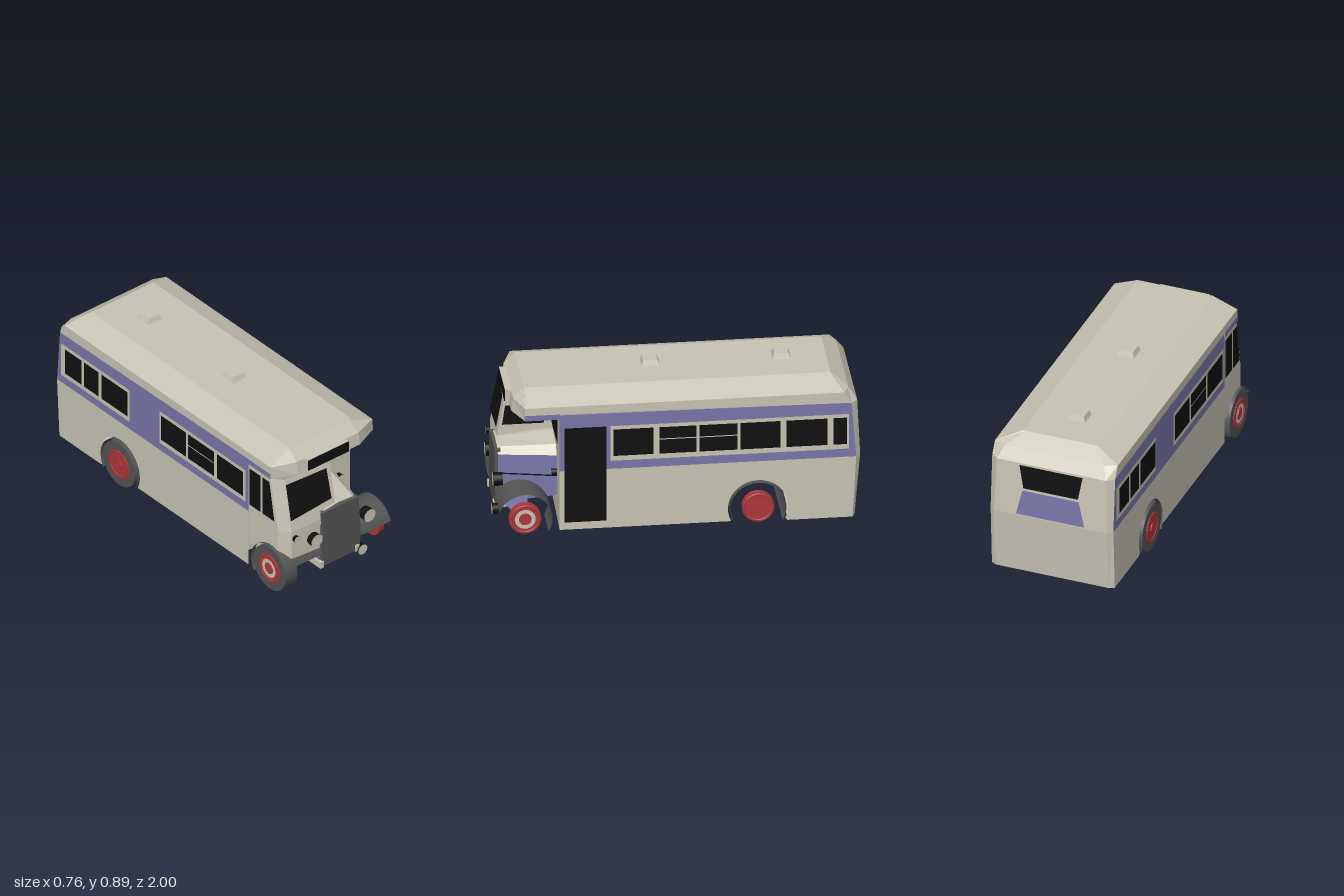
import * as THREE from 'three';

const paint = (name, color) => new THREE.MeshStandardMaterial({ name, color, side: THREE.DoubleSide });

export function createModel() {
  const bus = new THREE.Group();
  bus.name = 'halfCabBus';
  const cream = paint('cream', 0xc9c5b5);
  const blue = paint('blue', 0x7976aa);
  const grey = paint('darkGrey', 0x545454);
  const black = paint('black', 0x101010);
  const red = paint('red', 0xb0373c);

  const add = (name, geo, mat, x = 0, y = 0, z = 0, parent = bus) => {
    const m = new THREE.Mesh(geo, mat);
    m.name = name;
    m.position.set(x, y, z);
    parent.add(m);
    return m;
  };
  const faceted = (tris) => {
    const g = new THREE.BufferGeometry();
    g.setAttribute('position', new THREE.Float32BufferAttribute(tris.flat(), 3));
    g.computeVertexNormals();
    return g;
  };
  // Skin between consecutive point rows
  const loft = (name, rows, mat) => {
    const t = [];
    for (let i = 0; i < rows.length - 1; i++) {
      for (let j = 0; j < rows[i].length - 1; j++) {
        const a = rows[i][j], b = rows[i][j + 1], c = rows[i + 1][j + 1], d = rows[i + 1][j];
        t.push(a, b, c, a, c, d);
      }
    }
    return add(name, faceted(t), mat);
  };
  // Flat convex polygon
  const face = (name, pts, mat) => {
    const t = [];
    for (let i = 1; i < pts.length - 1; i++) t.push(pts[0], pts[i], pts[i + 1]);
    return add(name, faceted(t), mat);
  };
  const sidePlate = (name, x, z0, z1, y0, y1, mat) =>
    face(name, [[x, y0, z0], [x, y0, z1], [x, y1, z1], [x, y1, z0]], mat);
  const box = (name, w, h, d, x, y, z, mat) => add(name, new THREE.BoxGeometry(w, h, d), mat, x, y, z);

  // Lower side panel with rear wheel arch cut out, and blue waistband above
  const W = 0.36, REAR = -0.437;
  const panel = new THREE.Shape();
  panel.moveTo(0.65, 0.055);
  panel.lineTo(-0.288, 0.055);
  panel.absarc(REAR, 0.13, 0.165, -0.45, Math.PI + 0.45, false);
  panel.lineTo(-0.6, 0.045);
  panel.lineTo(-0.955, 0.045);
  panel.lineTo(-0.975, 0.41);
  panel.lineTo(0.65, 0.41);
  for (const s of [1, -1]) {
    add('lowerSide', new THREE.ShapeGeometry(panel, 16).rotateY(-Math.PI / 2), cream, s * W);
    face('blueBand', [[s * W, 0.41, 0.65], [s * W, 0.41, -0.975], [s * W, 0.735, -0.95], [s * W, 0.755, 0.65]], blue);
    sidePlate('canopyValance', s * 0.363, 0.65, 0.84, 0.725, 0.757, blue);
  }

  // Side windows: pale frames, dark panes and sliding rails
  const glaze = (s, frames, panes, rails) => {
    for (const [a, b] of frames) sidePlate('windowFrame', s * 0.363, a, b, 0.46, 0.67, cream);
    for (const [a, b] of panes) sidePlate('sideWindow', s * 0.366, a, b, 0.49, 0.65, black);
    for (const [a, b] of rails) sidePlate('windowRail', s * 0.368, a, b, 0.576, 0.582, cream);
  };
  glaze(1, [[0.373, -0.936]],
    [[0.357, 0.137], [0.105, -0.1], [-0.115, -0.324], [-0.34, -0.56], [-0.592, -0.818], [-0.85, -0.925]],
    [[0.137, -0.1], [-0.115, -0.324]]);
  glaze(-1, [[0.63, -0.1], [-0.355, -0.936]],
    [[0.61, 0.39], [0.365, 0.145], [0.125, -0.085], [-0.37, -0.59], [-0.615, -0.74], [-0.76, -0.9]],
    [[0.365, 0.145]]);
  sidePlate('door', 0.364, 0.625, 0.394, 0.1, 0.67, black);

  // Rear end
  const planRow = (y, w, zs, c, zr) => [[w, y, zs], [c, y, zr], [-c, y, zr], [-w, y, zs]];
  loft('rearEnd', [
    planRow(0.045, W, -0.955, 0.33, -0.97),
    planRow(0.41, W, -0.975, 0.33, -1),
    planRow(0.735, W, -0.95, 0.32, -0.985),
    planRow(0.8, W, -0.91, 0.29, -0.94),
    planRow(0.86, 0.22, -0.85, 0.2, -0.85),
  ], cream);
  face('rearFloor', [[W, 0.05, -0.6], [-W, 0.05, -0.6], [-W, 0.045, -0.955], [-0.33, 0.045, -0.97],
    [0.33, 0.045, -0.97], [W, 0.045, -0.955]], cream);
  const rearZ = (y) => -1.004 + (y - 0.41) * 0.046;
  const rearPlate = (name, y0, w0, y1, w1, mat) => face(name,
    [[w0, y0, rearZ(y0)], [-w0, y0, rearZ(y0)], [-w1, y1, rearZ(y1)], [w1, y1, rearZ(y1)]], mat);
  rearPlate('rearWindow', 0.585, 0.16, 0.725, 0.185, black);
  rearPlate('rearBluePanel', 0.42, 0.2, 0.57, 0.165, blue);

  // Roof, front canopy and vents
  const roofRow = (z0, z1, z2, yl) => [[W, yl, z0], [W, 0.8, z1], [0.22, 0.86, z2], [-0.22, 0.86, z2], [-W, 0.8, z1], [-W, yl, z0]];
  loft('roof', [roofRow(0.84, 0.84, 0.83, 0.725), roofRow(0.65, 0.65, 0.65, 0.75), roofRow(-0.95, -0.91, -0.85, 0.735)], cream);
  loft('canopy', [
    planRow(0.725, W, 0.84, 0.22, 0.9),
    planRow(0.8, W, 0.84, 0.22, 0.89),
    planRow(0.86, 0.22, 0.83, 0.2, 0.83),
  ], cream);
  face('canopyUnderside', [[W, 0.725, 0.65], [W, 0.725, 0.84], [0.22, 0.725, 0.9],
    [-0.22, 0.725, 0.9], [-W, 0.725, 0.84], [-W, 0.725, 0.65]], cream);
  box('signBox', 0.29, 0.068, 0.08, -0.022, 0.77, 0.882, cream);
  box('signPanel', 0.288, 0.064, 0.004, -0.022, 0.77, 0.924, black);
  for (const z of [0.113, -0.605]) {
    add('roofVent', new THREE.CylinderGeometry(0.055, 0.071, 0.03, 4).rotateY(Math.PI / 4).toNonIndexed(), cream, -0.015, 0.875, z)
      .geometry.computeVertexNormals();
  }

  // Bulkhead beside the cab
  face('bulkhead', [[-W, 0.15, 0.65], [W, 0.055, 0.65], [W, 0.74, 0.65], [-W, 0.74, 0.65]], cream);
  face('bulkheadWindow', [[0.012, 0.545, 0.655], [0.3, 0.545, 0.655], [0.3, 0.685, 0.655], [0.012, 0.685, 0.655]], black);

  // Driver's cab
  const cabRow = (y, z) => [[0, y, 0.65], [0, y, z], [-0.31, y, z - 0.01], [-0.357, y, z - 0.07], [-0.357, y, 0.65]];
  loft('cab', [cabRow(0.2, 0.965), cabRow(0.41, 0.965), cabRow(0.49, 0.95), cabRow(0.725, 0.905)], cream);
  face('windscreen', [[-0.312, 0.482, 0.953], [-0.18, 0.5, 0.956], [-0.024, 0.508, 0.954],
    [-0.032, 0.692, 0.919], [-0.312, 0.7, 0.911]], black);
  face('cabInnerWindow', [[0.005, 0.535, 0.694], [0.005, 0.535, 0.925], [0.005, 0.65, 0.908], [0.005, 0.65, 0.694]], black);
  sidePlate('cabSideWindow', -0.362, 0.66, 0.755, 0.46, 0.7, black);
  face('cabSideWindow', [[-0.362, 0.46, 0.77], [-0.362, 0.46, 0.872], [-0.362, 0.7, 0.83], [-0.362, 0.7, 0.77]], black);

  // Bonnet, radiator and chassis front
  const topF = [[-0.108, 0.455, 0.965], [0.02, 0.47, 0.965], [0.12, 0.462, 0.965], [0.155, 0.43, 0.965]];
  const topR = [[-0.1, 0.475, 0.65], [0.03, 0.51, 0.65], [0.175, 0.487, 0.65], [0.222, 0.44, 0.65]];
  loft('bonnetTop', [topF, topR], cream);
  loft('bonnetSide', [[topF[3], [0.155, 0.14, 0.965]], [topR[3], [0.222, 0.2, 0.65]]], blue);
  loft('bonnetInnerSide', [[topF[0], [-0.12, 0.14, 0.965]], [topR[0], [-0.1, 0.15, 0.65]]], blue);
  face('bonnetSeam', [[0.16, 0.316, 0.965], [0.16, 0.324, 0.965], [0.227, 0.324, 0.65], [0.227, 0.316, 0.65]], black);
  face('radiator', [[-0.115, 0.107, 0.982], [0.145, 0.107, 0.982], [0.16, 0.2, 0.982], [0.145, 0.458, 0.982], [-0.105, 0.458, 0.982]], grey);
  loft('radiatorShell', [
    [[-0.115, 0.107, 0.982], [-0.105, 0.458, 0.982], [0.145, 0.458, 0.982], [0.16, 0.2, 0.982], [0.145, 0.107, 0.982]],
    [[-0.115, 0.107, 0.95], [-0.105, 0.458, 0.95], [0.145, 0.458, 0.95], [0.16, 0.2, 0.95], [0.145, 0.107, 0.95]],
  ], grey);
  face('wingApron', [[0.15, 0.14, 0.94], [0.32, 0.16, 0.9], [0.3, 0.2, 0.82], [0.16, 0.2, 0.8]], blue);
  face('wingLiner', [[0.15, 0.14, 0.93], [0.32, 0.09, 0.87], [0.32, 0.16, 0.89]], grey);
  face('wingLiner', [[-0.12, 0.145, 0.9], [-0.28, 0.1, 0.87], [-0.22, 0.15, 0.89]], grey);
  for (const x of [-0.12, 0.13]) box('chassisHorn', 0.025, 0.04, 0.16, x, 0.125, 0.91, cream);

  // Wings and the rear wheel well
  const arch = (name, r, x0, x1, y, z, start, sweep) => add(name,
    new THREE.CylinderGeometry(r, r, x1 - x0, 20, 1, true, start, sweep).rotateZ(Math.PI / 2), grey, (x0 + x1) / 2, y, z);
  arch('frontWing', 0.15, 0.16, 0.375, 0.135, 0.84, 0.37, Math.PI + 0.18);
  arch('frontWing', 0.15, -0.375, -0.11, 0.135, 0.84, 0.37, Math.PI + 0.18);
  arch('rearWheelWell', 0.155, -0.372, 0.372, 0.13, REAR, -0.53, Math.PI + 1.06);

  // Wheels
  const disc = (r, w) => new THREE.CylinderGeometry(r, r, w, 28).rotateZ(Math.PI / 2);
  const ring = (r0, r1) => new THREE.RingGeometry(r0, r1, 28).rotateY(Math.PI / 2);
  for (const s of [1, -1]) {
    for (const z of [0.84, REAR]) {
      const wheel = new THREE.Group();
      wheel.name = z > 0 ? 'frontWheel' : 'rearWheel';
      wheel.position.set(0, 0.137, z);
      bus.add(wheel);
      if (s < 0) add('tyre', disc(0.136, 0.085), grey, -0.327, 0, 0, wheel);
      add('rim', disc(0.088, 0.034), red, s * 0.354, 0, 0, wheel);
      add('rimRing', ring(0.035, 0.057), z > 0 ? cream : red, s * 0.374, 0, 0, wheel);
      add('rimEdge', new THREE.TorusGeometry(0.078, 0.008, 6, 28).rotateY(Math.PI / 2), red, s * 0.368, 0, 0, wheel);
      add('hub', disc(0.027, 0.012), red, s * 0.372, 0, 0, wheel);
    }
  }

  // Lamps: dark shells with pale lenses
  const lamps = [['headlamp', -0.165, 0.31, 0.972, 0.04, 0.05], ['headlamp', 0.21, 0.31, 0.972, 0.04, 0.05],
    ['fogLamp', 0.16, 0.107, 0.982, 0.032, 0.03], ['sideLamp', -0.29, 0.365, 0.97, 0.02, 0.02], ['sideLamp', 0.27, 0.365, 0.67, 0.02, 0.03]];
  for (const [name, x, y, z, r, d] of lamps) {
    add(name, new THREE.CylinderGeometry(r, r * 0.9, d, 16).rotateX(Math.PI / 2), black, x, y, z);
    add(name + 'Lens', new THREE.CircleGeometry(r, 16), cream, x, y, z + d / 2 + 0.002);
  }
  return bus;
}
